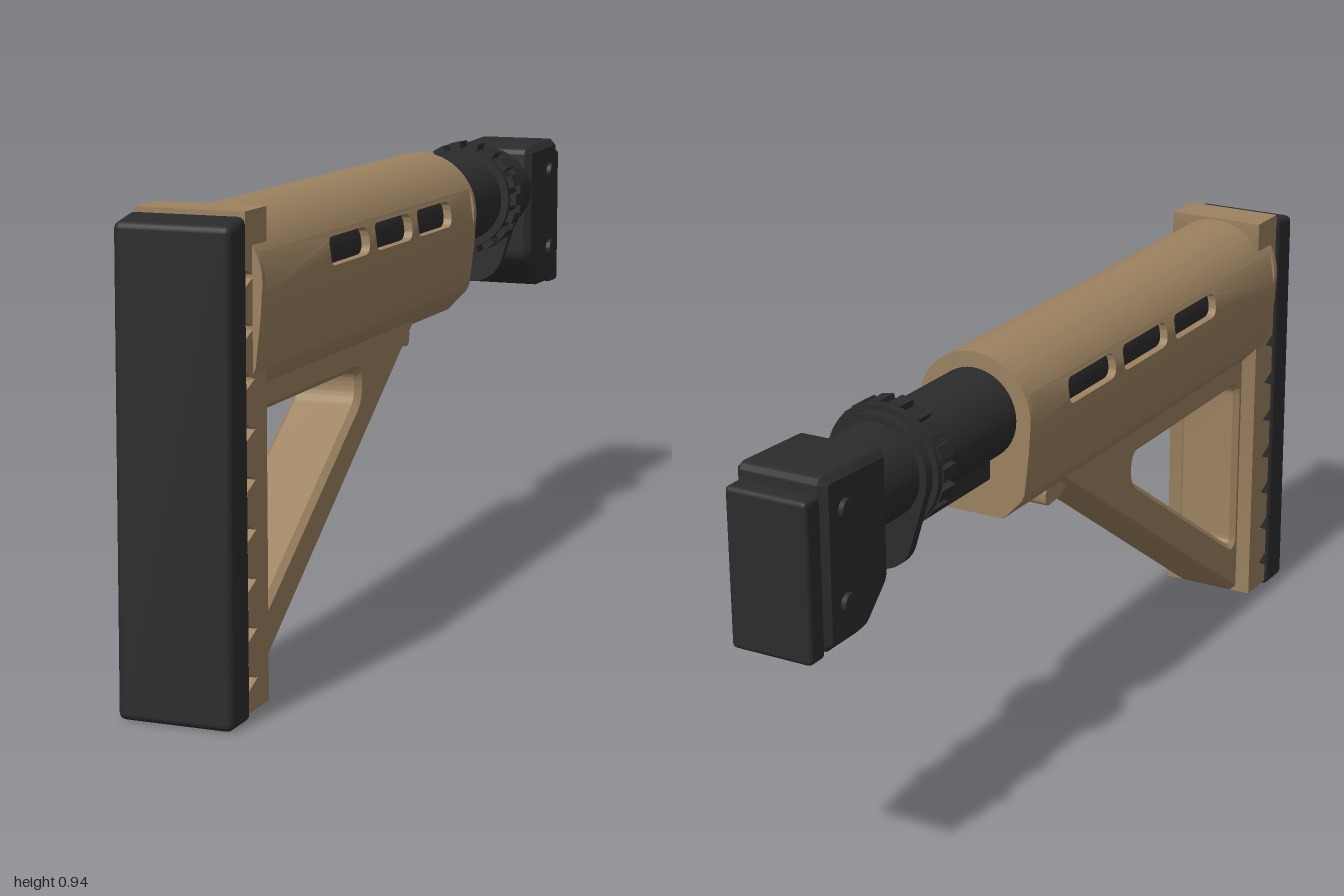
import * as THREE from 'three';
import { toCreasedNormals } from 'three/addons/utils/BufferGeometryUtils.js';
import { RoundedBoxGeometry } from 'three/addons/geometries/RoundedBoxGeometry.js';

const AXIS_Y = 0.805, R = 0.13;        // height of the tube axis, outer radius of the sleeve
const BAND = [0.785, 0.86];            // height range of the slotted side bands

export function createModel() {
  const root = new THREE.Group();
  const tan = new THREE.MeshStandardMaterial({ color: 0x9c8260 });
  tan.name = 'tan polymer';
  const dark = new THREE.MeshStandardMaterial({ color: 0x2c2c2d });
  dark.name = 'dark metal and rubber';

  const add = (name, geo, mat, x = 0, y = 0, z = 0) => {
    const m = new THREE.Mesh(geo, mat);
    m.name = name;
    m.position.set(x, y, z);
    root.add(m);
    return m;
  };
  const poly = pts => new THREE.Shape(pts.map(p => new THREE.Vector2(p[0], p[1])));

  // Extrude a (z, y) side profile across x, centred, with an optional bevel
  const acrossX = (shape, width, bevel = 0, creased = true) => {
    const g = new THREE.ExtrudeGeometry(shape, {
      depth: width - 2 * bevel, bevelEnabled: bevel > 0, bevelSize: bevel,
      bevelThickness: bevel, bevelOffset: -bevel, bevelSegments: 1, curveSegments: 10,
    });
    g.translate(0, 0, -width / 2 + bevel);
    g.rotateY(-Math.PI / 2);
    return creased ? toCreasedNormals(g, 0.6) : g;
  };
  // Extrude an (x, y) cross-section from z0 to z1
  const alongZ = (shape, z0, z1) => {
    const g = new THREE.ExtrudeGeometry(shape, { depth: z1 - z0, bevelEnabled: false, curveSegments: 24 });
    g.translate(0, 0, z0);
    return toCreasedNormals(g, 0.5);
  };
  const tube = (name, r, z0, z1, mat) => {
    const g = new THREE.CylinderGeometry(r, r, z1 - z0, 40);
    g.rotateX(Math.PI / 2);
    add(name, g, mat, 0, AXIS_Y, (z0 + z1) / 2);
  };
  // Polygon with rounded corners
  const rounded = (pts, r, Type = THREE.Shape) => {
    const s = new Type(), n = pts.length;
    pts.forEach((p, i) => {
      const c = new THREE.Vector2(...p);
      const a = new THREE.Vector2(...pts[(i + n - 1) % n]).sub(c).setLength(r).add(c);
      const b = new THREE.Vector2(...pts[(i + 1) % n]).sub(c).setLength(r).add(c);
      if (i) s.lineTo(a.x, a.y); else s.moveTo(a.x, a.y);
      s.quadraticCurveTo(c.x, c.y, b.x, b.y);
    });
    s.closePath();
    return s;
  };
  const onCircle = (r, a) => [r * Math.cos(a), AXIS_Y + r * Math.sin(a)];
  const arc = (r, a0, a1, n) => Array.from({ length: n + 1 }, (_, i) => onCircle(r, a0 + (a1 - a0) * i / n));

  // Sleeve: upper shell, lower shell, two end caps and two slotted side bands
  const aTop = Math.asin((BAND[1] - AXIS_Y) / R), aLow = Math.asin((BAND[0] - AXIS_Y) / R);
  const Z0 = -0.275, Z1 = 0.88, CAP = 0.015, wall = 0.018;
  const keel = [[-0.126, 0.745], [-0.115, 0.65], [-0.108, 0.635], [-0.065, 0.59],
    [0.065, 0.59], [0.108, 0.635], [0.115, 0.65], [0.126, 0.745]];
  const upper = poly([...arc(R, aTop, Math.PI - aTop, 24), ...arc(R - wall, Math.PI - aTop, aTop, 24)]);
  const lower = poly([onCircle(R, Math.PI - aLow), ...keel, onCircle(R, aLow),
    ...arc(R - wall, aLow, -Math.PI - aLow, 24)]);
  add('sleeveTop', alongZ(upper, Z0 + CAP, Z1 - CAP), tan);
  add('sleeveBottom', alongZ(lower, Z0 + CAP, Z1 - CAP), tan);
  const capShape = poly([...arc(R, aLow, Math.PI - aLow, 36), ...keel]);
  capShape.holes.push(new THREE.Path().absarc(0, AXIS_Y, 0.095, 0, Math.PI * 2, true));
  add('sleeveFrontCap', alongZ(capShape, Z0, Z0 + CAP), tan);
  add('sleeveRearCap', alongZ(capShape, Z1 - CAP, Z1), tan);

  const bandShape = poly([[Z0 + CAP, BAND[0]], [Z1 - CAP, BAND[0]], [Z1 - CAP, BAND[1]], [Z0 + CAP, BAND[1]]]);
  for (const z of [0.457, 0.22, -0.016]) {
    bandShape.holes.push(rounded([[z - 0.1, 0.795], [z - 0.1, 0.85], [z + 0.1, 0.85], [z + 0.1, 0.795]], 0.022, THREE.Path));
  }
  for (const s of [1, -1]) {
    const g = acrossX(bandShape, wall, 0, false);
    g.translate(s * (R - wall / 2), 0, 0);
    const p = g.attributes.position;   // bend the flat band onto the sleeve curve
    for (let i = 0; i < p.count; i++) {
      const d = p.getY(i) - AXIS_Y;
      p.setX(i, p.getX(i) - s * (R - Math.sqrt(R * R - d * d)));
    }
    add(s > 0 ? 'leftSlottedBand' : 'rightSlottedBand', toCreasedNormals(g, 0.5), tan);
  }

  // Back column with notches along the pad
  const column = [[0.82, 0.012], [0.91, 0.012]];
  for (let i = 0; i < 9; i++) {
    const y = 0.07 + i * 0.0935;
    column.push([0.91, y - 0.016], [0.872, y], [0.91, y + 0.016]);
  }
  column.push([0.91, 0.938], [0.815, 0.938], [0.815, 0.88], [0.82, 0.87]);
  add('backColumn', acrossX(poly(column), 0.22), tan);
  add('slingSlot', new THREE.BoxGeometry(0.09, 0.006, 0.03), dark, 0, 0.011, 0.865);

  // Triangular frame under the sleeve
  const frame = poly([[0.88, 0.014], [0.88, 0.62], [-0.07, 0.62], [0.815, 0.014]]);
  frame.holes.push(rounded([[0.8, 0.135], [0.8, 0.545], [0.275, 0.545], [0.275, 0.485]], 0.027, THREE.Path));
  add('triangleFrame', acrossX(frame, 0.15, 0.012), tan);
  add('frameTopRail', new THREE.BoxGeometry(0.12, 0.04, 0.5), tan, 0, 0.572, 0.55);

  // Release lever
  const lever = rounded([[0.05, 0.585], [-0.01, 0.545], [-0.07, 0.54], [-0.075, 0.575], [-0.03, 0.595]], 0.012);
  add('releaseLever', acrossX(lever, 0.1), tan);

  // Rubber pad, leaning slightly inward at the top
  const pad = new RoundedBoxGeometry(0.23, 0.93, 0.09, 3, 0.014);
  const pp = pad.attributes.position;
  for (let i = 0; i < pp.count; i++) {
    if (pp.getZ(i) > 0 && pp.getY(i) > 0) {
      pp.setZ(i, pp.getZ(i) - 0.012 * pp.getY(i) / 0.465);
      pp.setY(i, pp.getY(i) - 0.01);
    }
  }
  add('buttPad', pad, dark, 0, 0.465, 0.955);

  // Inner tube with its guide rail
  tube('bufferTube', 0.097, -0.78, 0.84, dark);
  add('guideRail', new RoundedBoxGeometry(0.07, 0.06, 0.32, 2, 0.006), dark, 0, 0.697, -0.355);

  // Notched locking ring
  tube('lockRing', 0.114, -0.615, -0.54, dark);
  tube('lockRingFlange', 0.125, -0.615, -0.598, dark);
  for (let i = 0; i < 18; i++) {
    const a = i / 18 * Math.PI * 2;
    const [x, y] = onCircle(0.115, a);
    add('lockRingTooth', new THREE.BoxGeometry(0.026, 0.026, 0.048), dark, x, y, -0.578).rotation.z = a;
  }

  // End plate with a rounded lower lobe
  const plate = new THREE.Shape();
  plate.absarc(0, AXIS_Y, 0.112, -0.25, Math.PI + 0.25, false);
  plate.absarc(0, 0.68, 0.076, Math.PI + 0.25, Math.PI * 2 - 0.25, false);
  add('endPlate', alongZ(plate, -0.637, -0.615), dark);

  // Hinge block, cross pins and mounting plate
  const block = rounded([[-0.745, 0.905], [-0.745, 0.645], [-0.825, 0.57], [-0.955, 0.57], [-0.955, 0.913]], 0.02);
  add('hingeBlock', acrossX(block, 0.195, 0.014), dark);
  for (const y of [0.838, 0.653]) {
    const pin = new THREE.CylinderGeometry(0.02, 0.02, 0.216, 20);
    pin.rotateZ(Math.PI / 2);
    add('hingePin', pin, dark, 0, y, -0.892);
  }
  add('mountingPlate', new RoundedBoxGeometry(0.176, 0.32, 0.05, 2, 0.01), dark, 0, 0.722, -0.975);

  return root;
}
